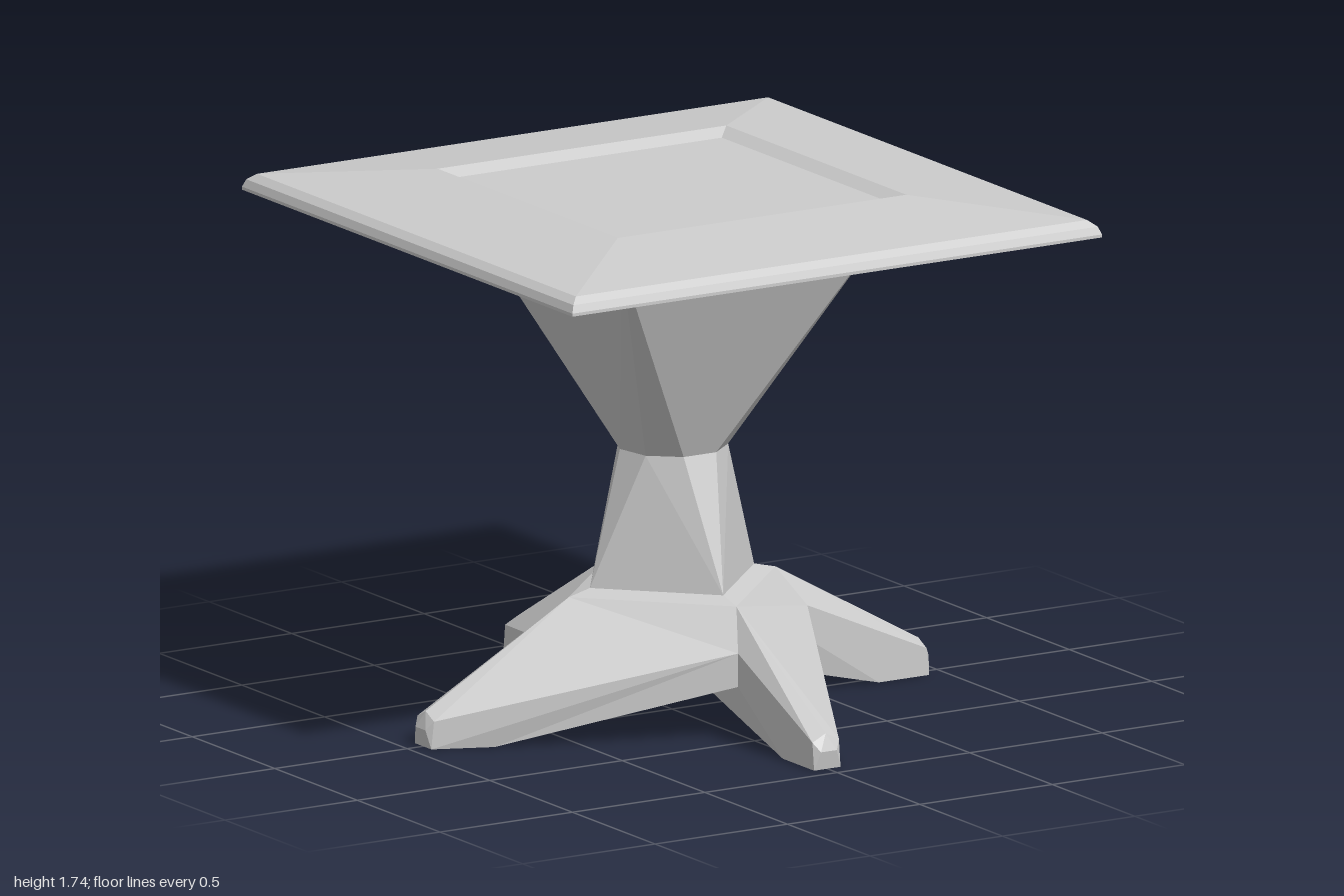
import * as THREE from 'three';
import { ConvexGeometry } from 'three/addons/geometries/ConvexGeometry.js';

const material = new THREE.MeshStandardMaterial({ color: 0xcccccc, flatShading: true });

// Regular polygon of points at height y; first corner at angle start (from +x towards +z)
function ring(sides, radius, y, start) {
  return Array.from({ length: sides }, (_, i) => {
    const a = start + (i * 2 * Math.PI) / sides;
    return new THREE.Vector3(radius * Math.cos(a), y, radius * Math.sin(a));
  });
}

function part(name, geometry) {
  const mesh = new THREE.Mesh(geometry, material);
  mesh.name = name;
  return mesh;
}

// One quarter of the pinwheel foot: the leg along +x up to the neighbouring notches
function legGeometry() {
  const p = {
    centreTop: [0, 0.44, 0], centreUnder: [0, 0.18, 0],
    shoulder: [0.31, 0.44, 0], nextShoulder: [0, 0.44, -0.31],
    ridge: [0.39, 0.42, 0], nextRidge: [0, 0.42, -0.39],
    notchTop: [0.48, 0.29, 0.05], notchLow: [0.48, 0.18, 0.05],
    nextNotchTop: [0.05, 0.29, -0.48], nextNotchLow: [0.05, 0.18, -0.48],
    tipRidge: [0.93, 0.115, 0],
    tipA: [0.93, 0.09, 0.05], tipB: [0.93, 0.09, -0.05],
    toeA: [0.94, 0, 0.05], toeB: [0.94, 0, -0.05],
    noseA: [0.95, 0.06, 0.03], noseB: [0.95, 0.06, -0.03],
    heelA: [0.75, 0, 0.05], heelB: [0.75, 0, -0.13],
  };
  const faces = [
    // top
    'centreTop shoulder nextShoulder',
    'ridge tipRidge tipB nextNotchTop nextRidge nextShoulder shoulder',
    'ridge notchTop tipA tipRidge',
    // sides
    'notchTop notchLow heelA toeA tipA',
    'nextNotchTop tipB toeB heelB nextNotchLow',
    // tip
    'tipRidge tipA noseA noseB tipB',
    'noseA toeA toeB noseB',
    'tipA toeA noseA',
    'tipB noseB toeB',
    // underside
    'toeA heelA heelB toeB',
    'centreUnder nextNotchLow heelB heelA notchLow',
  ];
  const positions = [];
  for (const face of faces) {
    const c = face.split(' ').map((k) => p[k]);
    for (let i = 1; i < c.length - 1; i++) positions.push(...c[0], ...c[i], ...c[i + 1]);
  }
  const geometry = new THREE.BufferGeometry();
  geometry.setAttribute('position', new THREE.Float32BufferAttribute(positions, 3));
  geometry.computeVertexNormals();
  return geometry;
}

export function createModel() {
  const model = new THREE.Group();
  model.name = 'pedestalTable';

  // Square top with rounded rim, sloped border and sunken centre
  const profile = [
    [0, 1.635], [1, 1.635], [1, 1.645], [0.99, 1.67], [0.965, 1.69],
    [0.545, 1.74], [0.5, 1.715], [0, 1.715],
  ].map(([half, y]) => new THREE.Vector2(half * Math.SQRT2, y));
  model.add(part('tableTop', new THREE.LatheGeometry(profile, 4, Math.PI / 4)));

  // Column: square under the top, nine-sided waist, diamond at the foot
  const waist = ring(9, 0.18, 0.875, (70 * Math.PI) / 180);
  const square = ring(4, 0.5 * Math.SQRT2, 1.635, Math.PI / 4);
  const diamond = ring(4, 0.31, 0.44, 0);
  model.add(part('upperColumn', new ConvexGeometry([...square, ...waist])));
  model.add(part('lowerColumn', new ConvexGeometry([...waist, ...diamond])));

  // Four legs in a pinwheel
  const foot = new THREE.Group();
  foot.name = 'foot';
  const leg = legGeometry();
  for (let i = 0; i < 4; i++) {
    const mesh = part('leg', leg);
    mesh.rotation.y = (i * Math.PI) / 2;
    foot.add(mesh);
  }
  model.add(foot);
  return model;
}
